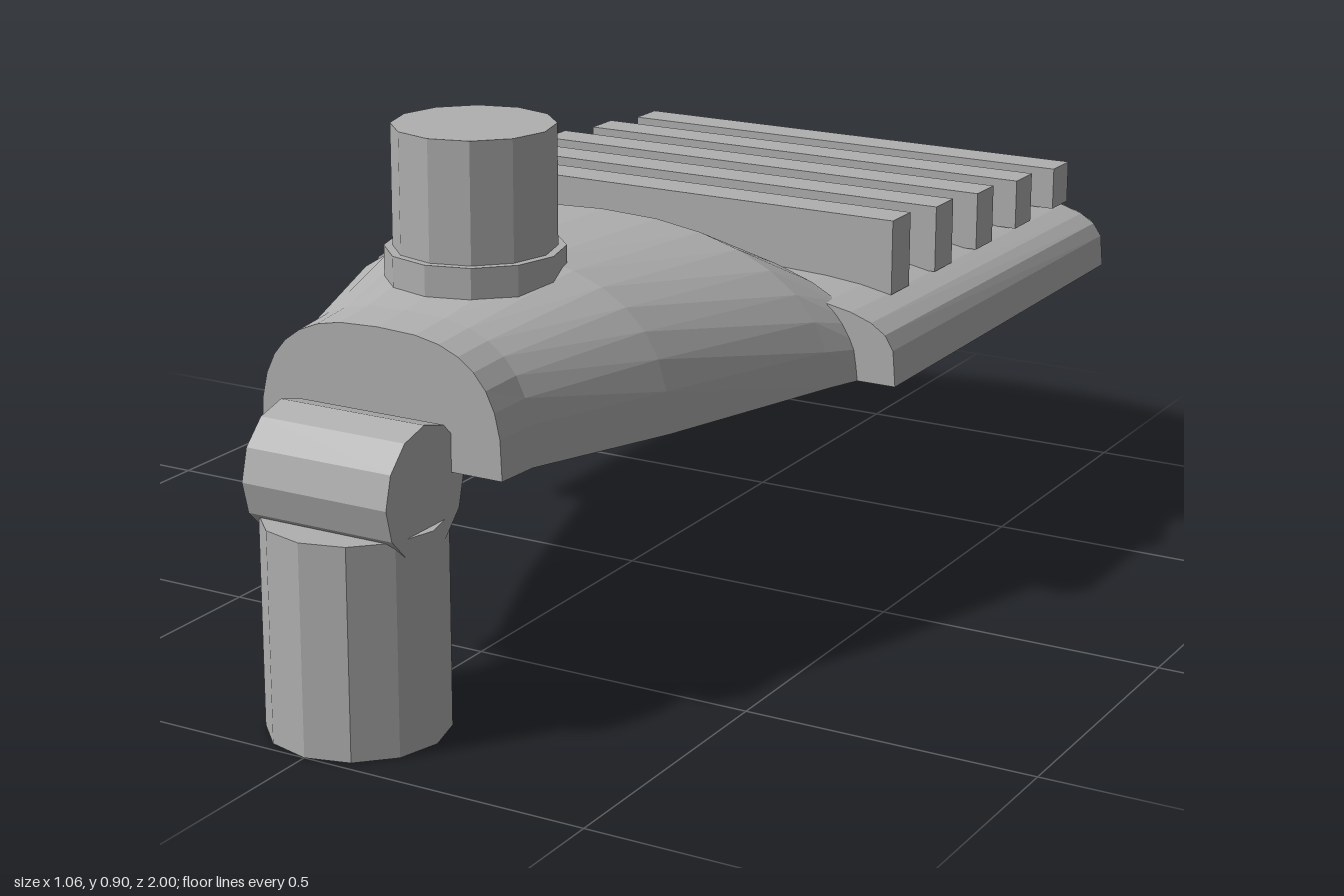
import * as THREE from 'three';

const BASE = 0.42; // underside of the lamp head
const STEPS = 16;

// Lofts domed cross-sections [z, halfWidth, topY, roundness], listed front to back
function domedLoft(sections) {
  const pos = [], index = [], n = STEPS + 1;
  for (const [z, w, top, e] of sections) {
    for (let j = 0; j <= STEPS; j++) {
      const a = (j / STEPS) * Math.PI;
      const c = Math.cos(a), s = Math.max(0, Math.sin(a));
      pos.push(
        w * Math.sign(c) * Math.pow(Math.abs(c), 2 / e),
        BASE + (top - BASE) * (j === STEPS ? 0 : Math.pow(s, 2 / e)),
        z
      );
    }
  }
  for (let i = 0; i < sections.length - 1; i++) {
    for (let j = 0; j < n; j++) {
      const k = (j + 1) % n;
      const a = i * n + j, b = a + n, d = i * n + k, c = d + n;
      index.push(a, b, d, b, c, d);
    }
  }
  const last = (sections.length - 1) * n;
  for (let j = 1; j < STEPS; j++) {
    index.push(0, j, j + 1, last, last + j + 1, last + j);
  }
  const geo = new THREE.BufferGeometry();
  geo.setAttribute('position', new THREE.Float32BufferAttribute(pos, 3));
  geo.setIndex(index);
  geo.computeVertexNormals();
  return geo;
}

export function createModel() {
  const model = new THREE.Group();
  model.name = 'streetLamp';
  const grey = new THREE.MeshStandardMaterial({ color: 0xb0b0b0, flatShading: true, side: THREE.DoubleSide });
  grey.name = 'grey metal';

  const add = (name, geo, x, y, z) => {
    const mesh = new THREE.Mesh(geo, grey);
    mesh.name = name;
    mesh.position.set(x, y, z);
    model.add(mesh);
    return mesh;
  };

  // Tapered housing between the joint and the lamp panel
  add('neckHousing', domedLoft([
    [0.78, 0.225, 0.633, 2.8],
    [0.7, 0.23, 0.64, 2.8],
    [0.45, 0.33, 0.682, 2.5],
    [0.1, 0.438, 0.673, 2.3],
    [0, 0.475, 0.62, 2.3],
  ]), 0, 0, 0);

  // Wide flat lamp panel with a rounded rear end
  add('lampPanel', domedLoft([
    [0.04, 0.53, 0.56, 4],
    [-0.87, 0.53, 0.547, 4],
    [-0.91, 0.51, 0.536, 4],
    [-0.94, 0.455, 0.526, 4],
    [-0.97, 0.345, 0.516, 4],
    [-1, 0.165, 0.505, 4],
  ]), 0, 0, 0);

  // Lens plate on the underside
  add('lensPlate', new THREE.BoxGeometry(0.95, 0.02, 0.89), 0, 0.42, -0.47);

  // Cooling fins, getting lower towards the rear
  for (let i = 0; i < 5; i++) {
    const top = 0.665 - i * 0.0133, bottom = 0.535;
    add('coolingFin', new THREE.BoxGeometry(0.906, top - bottom, 0.07),
      0, (top + bottom) / 2, -0.135 - i * 0.175);
  }

  // Sensor and its collar on top
  add('sensorCollar', new THREE.CylinderGeometry(0.147, 0.147, 0.08, 12), 0, 0.66, 0.5);
  add('sensor', new THREE.CylinderGeometry(0.133, 0.133, 0.25, 12), 0, 0.775, 0.5);

  // Pivot joint lying across the post
  add('pivotJoint', new THREE.CylinderGeometry(0.106, 0.106, 0.266, 12), 0, 0.41, 0.852)
    .rotation.z = Math.PI / 2;

  // Mounting post, hollow from below and closed on top
  add('mountingPost', new THREE.CylinderGeometry(0.147, 0.147, 0.35, 12, 1, true), 0, 0.175, 0.853);
  add('postTop', new THREE.CircleGeometry(0.147, 12), 0, 0.35, 0.853).rotation.x = -Math.PI / 2;

  return model;
}
